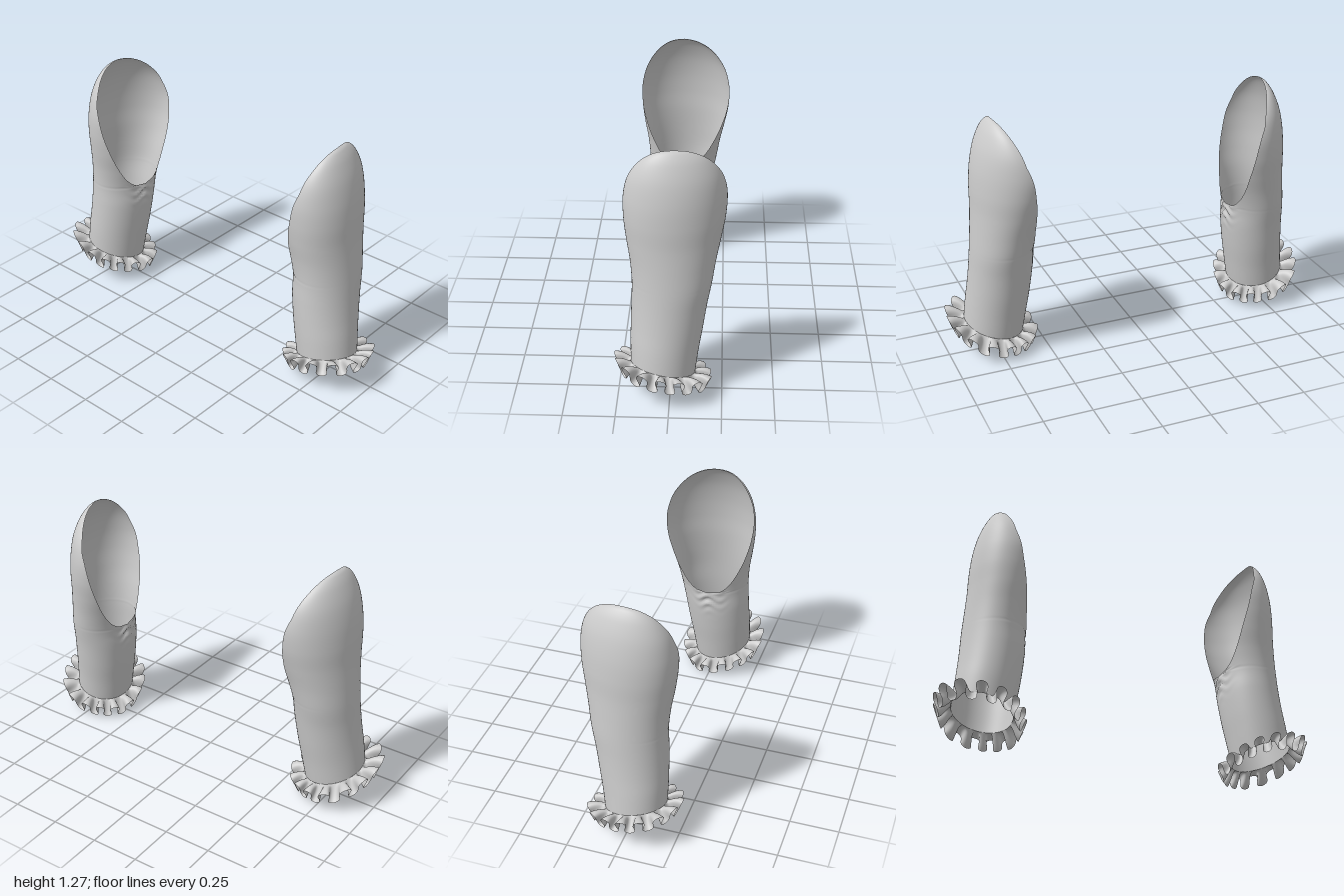
import * as THREE from 'three';
import { mergeVertices } from 'three/addons/utils/BufferGeometryUtils.js';

const material = new THREE.MeshStandardMaterial({ color: 0xcccccc, side: THREE.DoubleSide });

// Smooth sheet from a function of (u, v), both 0..1
function sheet(name, cols, rows, place) {
  const pos = [], index = [];
  for (let j = 0; j <= rows; j++)
    for (let i = 0; i <= cols; i++) pos.push(...place(i / cols, j / rows));
  for (let j = 0; j < rows; j++)
    for (let i = 0; i < cols; i++) {
      const a = j * (cols + 1) + i, b = a + 1, c = a + cols + 1, d = c + 1;
      index.push(a, c, b, b, c, d);
    }
  let geo = new THREE.BufferGeometry();
  geo.setAttribute('position', new THREE.Float32BufferAttribute(pos, 3));
  geo.setIndex(index);
  geo = mergeVertices(geo, 1e-5); // welds the seam
  geo.computeVertexNormals();
  const mesh = new THREE.Mesh(geo, material);
  mesh.name = name;
  return mesh;
}

// Cross-sections: height, centre x, radius x, centre z, radius z
const SECTIONS = [
  [0.13, 0.750, 0.150, 0.035, 0.155],
  [0.24, 0.735, 0.154, 0.028, 0.163],
  [0.35, 0.719, 0.158, 0.017, 0.172],
  [0.46, 0.707, 0.160, 0.006, 0.180],
  [0.57, 0.701, 0.158, -0.006, 0.189],
  [0.68, 0.683, 0.167, -0.011, 0.202],
  [0.79, 0.662, 0.180, -0.014, 0.222],
  [0.90, 0.648, 0.190, -0.018, 0.238],
  [1.01, 0.640, 0.187, -0.020, 0.239],
  [1.11, 0.657, 0.148, -0.020, 0.212],
  [1.19, 0.687, 0.086, -0.017, 0.153],
  [1.235, 0.710, 0.034, -0.012, 0.080],
  [1.25, 0.722, 0.000, -0.010, 0.000],
];

// Catmull-Rom blend of the section table
function section(v) {
  const n = SECTIONS.length - 1, f = v * n, i = Math.min(Math.floor(f), n - 1), t = f - i;
  const at = (k) => SECTIONS[Math.max(0, Math.min(n, k))];
  return at(0).map((_, k) => {
    const p0 = at(i - 1)[k], p1 = at(i)[k], p2 = at(i + 1)[k], p3 = at(i + 2)[k];
    return p1 + 0.5 * t * (p2 - p0 + t * (2 * p0 - 5 * p1 + 4 * p2 - p3 + t * (3 * (p1 - p2) + p3 - p0)));
  });
}

// Slope of the cuff: higher at the outside and front
const cuffTilt = (x, z) => 0.23 * (x - 0.75) + 0.2 * (z - 0.03);

// Tube with its inner side cut away in an oval rising to a point at the shoulder
function sleevePoint(u, v) {
  const [y, cx, rx, cz, rz] = section(v);
  const cut = THREE.MathUtils.clamp((y - 0.5701) / 0.5, 0, 1) ** 0.4;
  const a = (u * 2 - 1) * (Math.PI - cut * Math.PI / 2);
  // Small gathers under the arm
  const near = Math.exp(-(((Math.PI - Math.abs(a)) / 0.35) ** 2)) * Math.exp(-(((y - 0.53) / 0.06) ** 2));
  const crease = near * 0.008 * Math.sin(y * 120 + 2 * Math.cos(a * 9));
  const z = cz + (rz + crease) * Math.sin(a);
  const skew = 0.09 * THREE.MathUtils.smoothstep(y, 0.5, 1);
  const x = cx + (rx + crease) * Math.cos(a) + skew * (z - cz);
  const low = 1 - THREE.MathUtils.smoothstep(y, 0.13, 0.5);
  return [x, y + low * cuffTilt(x, z), z];
}

// Gathered ruffle that flares out from the cuff in rounded, overlapping folds
function frillPoint(u, s) {
  const a = u * Math.PI * 2, wave = 15 * a + 0.6 * Math.sin(3 * a);
  const fold = a + s * 0.06 * Math.sin(2 * wave);
  const flare = s * (0.066 + 0.016 * Math.cos(wave) + 0.01 * Math.cos(a) + 0.005 * Math.sin(4 * a));
  const x = 0.75 + (0.15 + flare) * Math.cos(fold);
  const z = 0.035 + (0.155 + flare) * Math.sin(fold);
  const lift = Math.sin(s * Math.PI / 2) * 0.041 * Math.cos(wave);
  return [x, 0.13 - 0.032 * s + cuffTilt(x, z) + lift, z];
}

function createSleeve(name) {
  const group = new THREE.Group();
  group.name = name;
  group.add(sheet('sleeveTube', 96, 120, sleevePoint), sheet('cuffFrill', 420, 8, frillPoint));
  return group;
}

export function createModel() {
  const model = new THREE.Group();
  model.name = 'sleevePair';
  const left = createSleeve('leftSleeve');
  const right = createSleeve('rightSleeve');
  right.scale.x = -1;
  right.position.set(0, 0.02, -0.008);
  model.add(left, right);
  return model;
}
